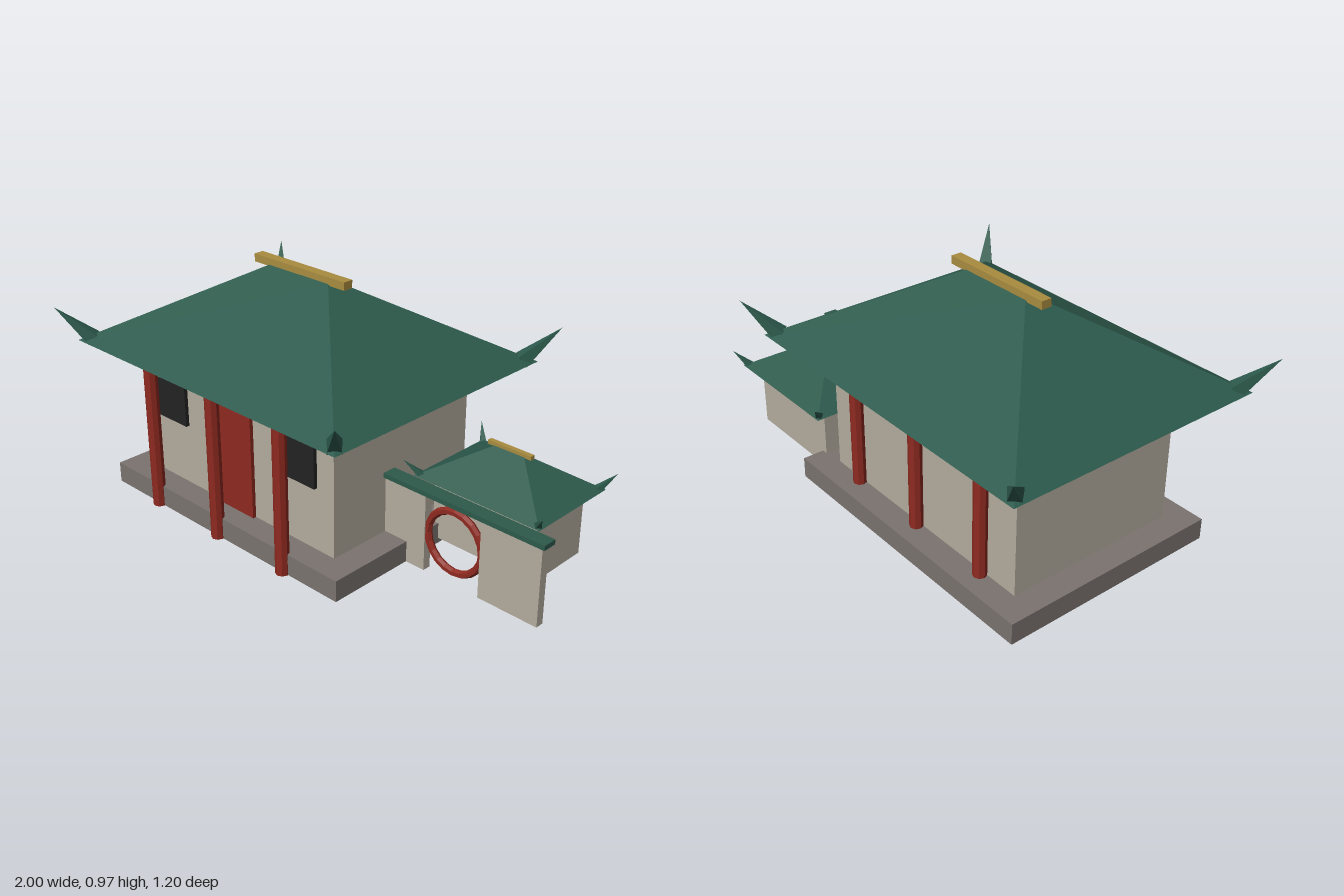
import * as THREE from 'three';

const mat = (name, color) => {
  const m = new THREE.MeshStandardMaterial({ color });
  m.name = name;
  return m;
};

// Faceted normals without touching the material
function flat(geo) {
  const g = geo.toNonIndexed();
  g.computeVertexNormals();
  return g;
}

export function createModel() {
  const plaster = mat('plaster', 0xb3ac9e);
  const stone = mat('stone', 0x7a7370);
  const green = mat('green tile', 0x2d5a4c);
  const red = mat('red lacquer', 0x8e2a20);
  const gold = mat('gold', 0xa98c40);
  const dark = mat('dark lattice', 0x222222);

  const model = new THREE.Group();
  model.name = 'courtyardHouse';

  const add = (parent, name, geo, material) => {
    const mesh = new THREE.Mesh(geo, material);
    mesh.name = name;
    parent.add(mesh);
    return mesh;
  };

  // Box given by its limits on each axis
  const box = (parent, name, material, [x0, x1], [y0, y1], [z0, z1]) => {
    const mesh = add(parent, name, new THREE.BoxGeometry(x1 - x0, y1 - y0, z1 - z0), material);
    mesh.position.set((x0 + x1) / 2, (y0 + y1) / 2, (z0 + z1) / 2);
    return mesh;
  };

  // Hipped roof: a box whose top is drawn in to a ridge, with upturned corner horns
  function hipRoof(name, { x, y, z, halfX, halfZ, height, ridgeX, ridgeZ, horn, cap }) {
    const roof = new THREE.Group();
    roof.name = name;
    roof.position.set(x, y, z);

    const geo = new THREE.BoxGeometry(2, height, 2).translate(0, height / 2, 0);
    const p = geo.attributes.position;
    for (let i = 0; i < p.count; i++) {
      const top = p.getY(i) > height / 2;
      p.setX(i, p.getX(i) * (top ? ridgeX : halfX));
      p.setZ(i, p.getZ(i) * (top ? ridgeZ : halfZ));
    }
    add(roof, 'roofSlopes', flat(geo), green);

    for (const sx of [-1, 1]) {
      for (const sz of [-1, 1]) {
        const cone = new THREE.ConeGeometry(0.037 * horn, 0.195 * horn, 4)
          .rotateY(Math.PI / 4)
          .translate(0, 0.0975 * horn, 0)
          .rotateX(0.84)
          .rotateY(Math.atan2(sx, sz));
        add(roof, 'cornerHorn', flat(cone), green)
          .position.set(sx * (halfX - 0.044 * horn), 0.007 * horn, sz * (halfZ - 0.044 * horn));
      }
    }

    box(roof, 'ridgeCap', gold, [-cap[0], cap[0]], [height - cap[2] * 0.2, height + cap[2] * 0.8], [-cap[1], cap[1]]);
    model.add(roof);
  }

  // Main hall
  const hall = new THREE.Group();
  hall.name = 'mainHall';
  model.add(hall);
  box(hall, 'platform', stone, [-0.86, 0.395], [0, 0.085], [-0.46, 0.46]);
  box(hall, 'hallWalls', plaster, [-0.757, 0.288], [0.085, 0.607], [-0.36, 0.36]);
  box(hall, 'door', red, [-0.34, -0.13], [0.085, 0.545], [0.359, 0.375]);
  for (const x of [-0.59, 0.122]) {
    box(hall, 'window', dark, [x - 0.082, x + 0.082], [0.34, 0.502], [0.359, 0.375]);
  }
  const columnGeo = flat(new THREE.CylinderGeometry(0.027, 0.027, 0.632, 8));
  for (const x of [-0.595, -0.235, 0.125]) {
    for (const z of [0.463, -0.377]) {
      add(hall, 'column', columnGeo, red).position.set(x, 0.316, z);
    }
  }
  hipRoof('hallRoof', {
    x: -0.235, y: 0.63, z: 0, halfX: 0.71, halfZ: 0.543, height: 0.315,
    ridgeX: 0.158, ridgeZ: 0.02, horn: 1, cap: [0.241, 0.021, 0.032],
  });

  // Side pavilion
  box(model, 'pavilionWalls', plaster, [0.37, 0.835], [0.022, 0.286], [-0.37, -0.087]);
  hipRoof('pavilionRoof', {
    x: 0.602, y: 0.284, z: -0.229, halfX: 0.284, halfZ: 0.202, height: 0.132,
    ridgeX: 0.066, ridgeZ: 0.009, horn: 0.47, cap: [0.097, 0.01, 0.016],
  });

  // Moon gate: two wall panels, a tiled coping and a round frame
  const gate = new THREE.Group();
  gate.name = 'moonGate';
  model.add(gate);
  box(gate, 'gateWall', plaster, [0.225, 0.48], [0, 0.316], [0.059, 0.093]);
  box(gate, 'gateWall', plaster, [0.73, 0.985], [0, 0.316], [0.059, 0.093]);
  box(gate, 'gateCoping', green, [0.21, 1.0], [0.315, 0.334], [0.046, 0.105]);
  add(gate, 'gateRing', flat(new THREE.TorusGeometry(0.122, 0.015, 6, 20)), red)
    .position.set(0.605, 0.163, 0.076);

  return model;
}
